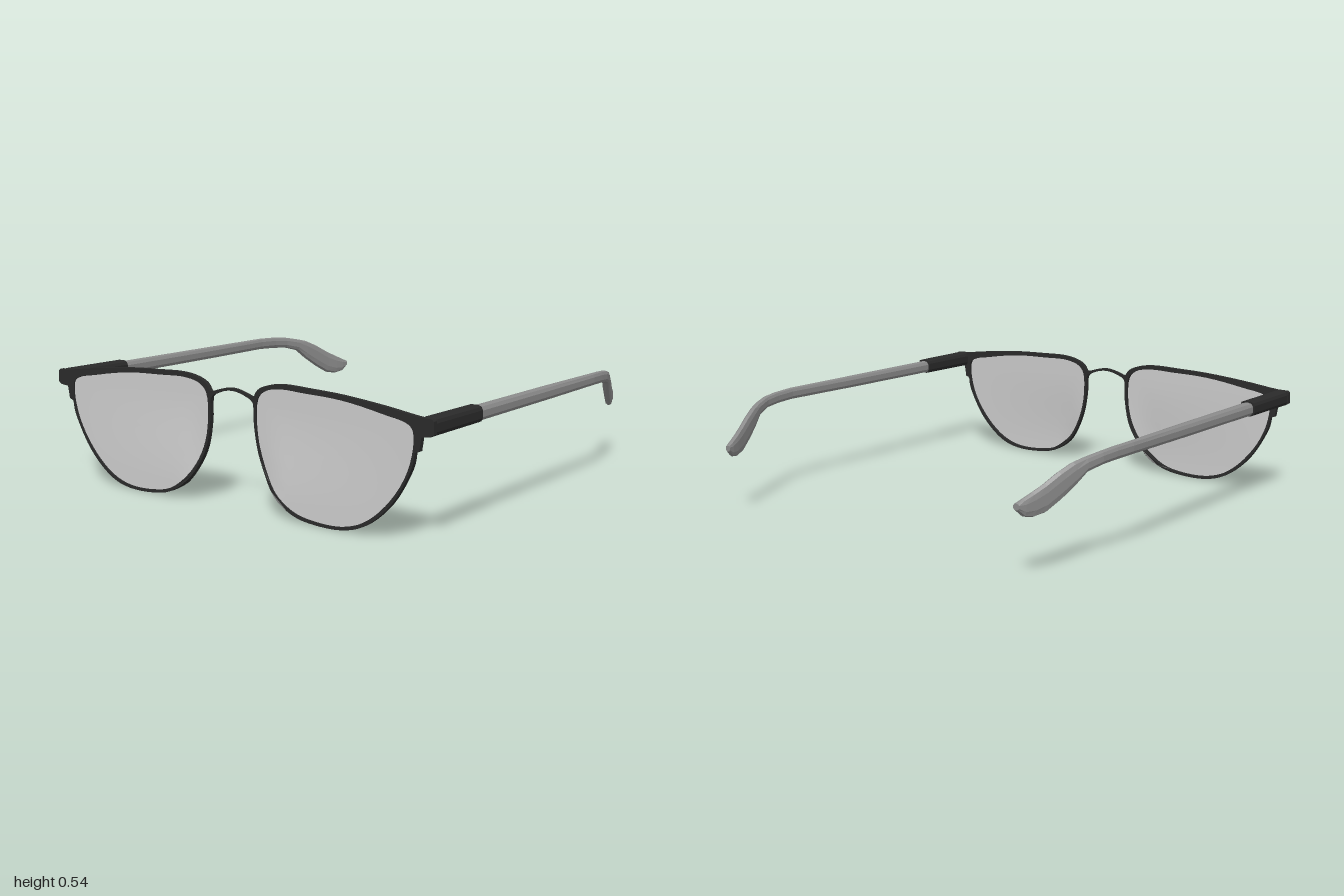
import * as THREE from 'three';

const paint = (color, opts = {}) => new THREE.MeshStandardMaterial({ color, ...opts });
const frameMat = paint(0x2a2a2a, { flatShading: true });
const templeMat = paint(0x8a8a8a, { flatShading: true });
const lensMat = paint(0xcccccc, { side: THREE.DoubleSide });
const spline = (points, n) => new THREE.SplineCurve(points.map(p => new THREE.Vector2(...p))).getPoints(n);

// Smooth closed lens outline (model's left side, x > 0)
const LENS = new THREE.CatmullRomCurve3([
  [.138, .465], [.172, .5], [.25, .519], [.385, .517], [.57, .51], [.76, .482], [.895, .45], [.91, .405],
  [.884, .28], [.806, .155], [.695, .057], [.585, .016], [.44, .014], [.33, .038], [.23, .11], [.16, .225], [.132, .34],
].map(([x, y]) => new THREE.Vector3(x, y, 0)), true, 'centripetal');

// Front surface depth: wraps back towards the nose, fuller along the bottom
function faceZ(x, y) {
  const upper = THREE.MathUtils.mapLinear(x, .13, 1, .9, .929);
  const lower = .9 + .026 * THREE.MathUtils.smoothstep(x, .13, .26);
  return THREE.MathUtils.lerp(lower, upper, THREE.MathUtils.smoothstep(y, .05, .45));
}

// Rim, brow and end piece cut from one sheet and bent to the face depth
function rimGeometry() {
  const brow = spline([
    [.112, .46], [.14, .505], [.2, .53], [.28, .54], [.4, .537], [.57, .53], [.76, .512], [.89, .495], [.94, .489],
  ], 32);
  const lug = [[.99, .488], [1, .48], [1, .43], [.985, .42], [.945, .415], [.936, .36], [.921, .355]]
    .map(p => new THREE.Vector2(...p));
  const lower = spline([
    [.915, .35], [.897, .28], [.817, .147], [.703, .045], [.587, .003], [.44, .001], [.324, .026], [.22, .1],
    [.148, .22], [.12, .34], [.117, .42],
  ], 44);
  const shape = new THREE.Shape([...brow, ...lug, ...lower]);
  // the hole runs opposite to the outline so its walls face inward
  const hole = LENS.getPoints(72).slice(0, -1).map(p => new THREE.Vector2(p.x, p.y)).reverse();
  shape.holes.push(new THREE.Path(hole));
  const geo = new THREE.ExtrudeGeometry(shape, { depth: .022, bevelEnabled: false });
  const pos = geo.attributes.position;
  for (let i = 0; i < pos.count; i++) {
    const x = pos.getX(i), y = pos.getY(i), back = pos.getZ(i) < .01;
    // small thickening at the lower nose side
    const bump = back ? .018 * Math.exp(-((x - .27) ** 2 + (y - .07) ** 2) / .003) : 0;
    pos.setZ(i, faceZ(x, y) + (back ? -.014 : .006) - bump);
  }
  return geo;
}

// Lens sheet: rings of the outline shrinking to its middle
function lensGeometry() {
  const n = 72, rings = 8, cx = .5, cy = .28, pos = [], idx = [];
  const outline = LENS.getPoints(n).slice(0, n);
  for (let r = 0; r <= rings; r++) {
    const s = 1.005 * (1 - r / rings);
    for (const p of outline) {
      const x = cx + (p.x - cx) * s, y = cy + (p.y - cy) * s;
      pos.push(x, y, faceZ(x, y));
    }
  }
  for (let r = 0; r < rings; r++) for (let i = 0; i < n; i++) {
    const a = r * n + i, b = r * n + (i + 1) % n;
    // outline runs clockwise seen from the front
    idx.push(a, b, a + n);
    if (r < rings - 1) idx.push(b, b + n, a + n);
  }
  // clockwise order needs turning to face +z
  idx.reverse();
  const geo = new THREE.BufferGeometry();
  geo.setAttribute('position', new THREE.Float32BufferAttribute(pos, 3));
  geo.setIndex(idx);
  return geo;
}

// Solid bar through sections [z, centre x, half width, top y, bottom y], running front to back
function barGeometry(sections, sides, power) {
  const pos = [], idx = [];
  const soft = v => Math.sign(v) * Math.abs(v) ** power;
  for (const [z, x, w, top, bottom] of sections) {
    for (let k = 0; k < sides; k++) {
      const a = (k + .5) / sides * Math.PI * 2;
      pos.push(x + w * soft(Math.cos(a)), (top + bottom) / 2 + (top - bottom) / 2 * soft(Math.sin(a)), z);
    }
  }
  const last = (sections.length - 1) * sides;
  for (let s = 0; s < last; s += sides) for (let k = 0; k < sides; k++) {
    const a = s + k, b = s + (k + 1) % sides;
    idx.push(a, a + sides, b, b, a + sides, b + sides);
  }
  for (let k = 1; k < sides - 1; k++) idx.push(0, k, k + 1, last, last + k + 1, last + k);
  const geo = new THREE.BufferGeometry();
  geo.setAttribute('position', new THREE.Float32BufferAttribute(pos, 3));
  geo.setIndex(idx);
  return geo;
}

// Arched nose bridge, flaring where it meets the rims
function bridgeGeometry() {
  const flip = points => points.map(([x, y]) => [-x, y]).reverse();
  const top = [[.04, .493], [.08, .482], [.105, .474], [.13, .478]];
  const under = [[.04, .481], [.08, .468], [.105, .455], [.124, .425]];
  const shape = new THREE.Shape([
    ...spline([...flip(top), [0, .498], ...top], 24),
    ...spline([...flip(under), [0, .486], ...under], 24).reverse(),
  ]);
  return new THREE.ExtrudeGeometry(shape, { depth: .014, bevelEnabled: false }).translate(0, 0, .89);
}

// Mirror across x = 0, keeping faces outward
function mirrored(geo) {
  const g = geo.clone().scale(-1, 1, 1);
  const idx = g.index ? Array.from(g.index.array) : Array.from({ length: g.attributes.position.count }, (_, i) => i);
  for (let i = 0; i < idx.length; i += 3) [idx[i], idx[i + 1]] = [idx[i + 1], idx[i]];
  g.setIndex(idx);
  g.computeVertexNormals();
  return g;
}

export function createModel() {
  const model = new THREE.Group();
  model.name = 'glasses';
  const add = (name, geo, mat) => {
    const mesh = new THREE.Mesh(geo, mat);
    mesh.name = name;
    model.add(mesh);
  };
  const addPair = (name, geo, mat) => {
    geo.computeVertexNormals();
    add(name + 'Left', geo, mat);
    add(name + 'Right', mirrored(geo), mat);
  };

  addPair('rim', rimGeometry(), frameMat);
  addPair('lens', lensGeometry(), lensMat);

  // Dark hinge sleeves behind the end pieces
  addPair('hingeSleeve', barGeometry([
    [.93, .961, .037, .488, .418], [.9, .961, .038, .49, .417], [.585, .96, .037, .488, .418],
  ], 12, .6), frameMat);

  // Temple arms, bending down and inward to flat ear tips
  addPair('temple', barGeometry([
    [.6, .959, .03, .482, .42], [0, .957, .027, .48, .421], [-.4, .958, .02, .478, .423],
    [-.5, .948, .019, .474, .419], [-.58, .935, .019, .466, .412], [-.65, .911, .02, .452, .392],
    [-.7, .891, .02, .439, .343], [-.76, .868, .02, .41, .297], [-.82, .845, .019, .373, .259],
    [-.87, .825, .019, .346, .249], [-.91, .81, .018, .326, .257], [-.938, .8, .014, .312, .286],
  ], 10, .75), templeMat);

  add('bridge', bridgeGeometry(), frameMat);

  return model;
}
